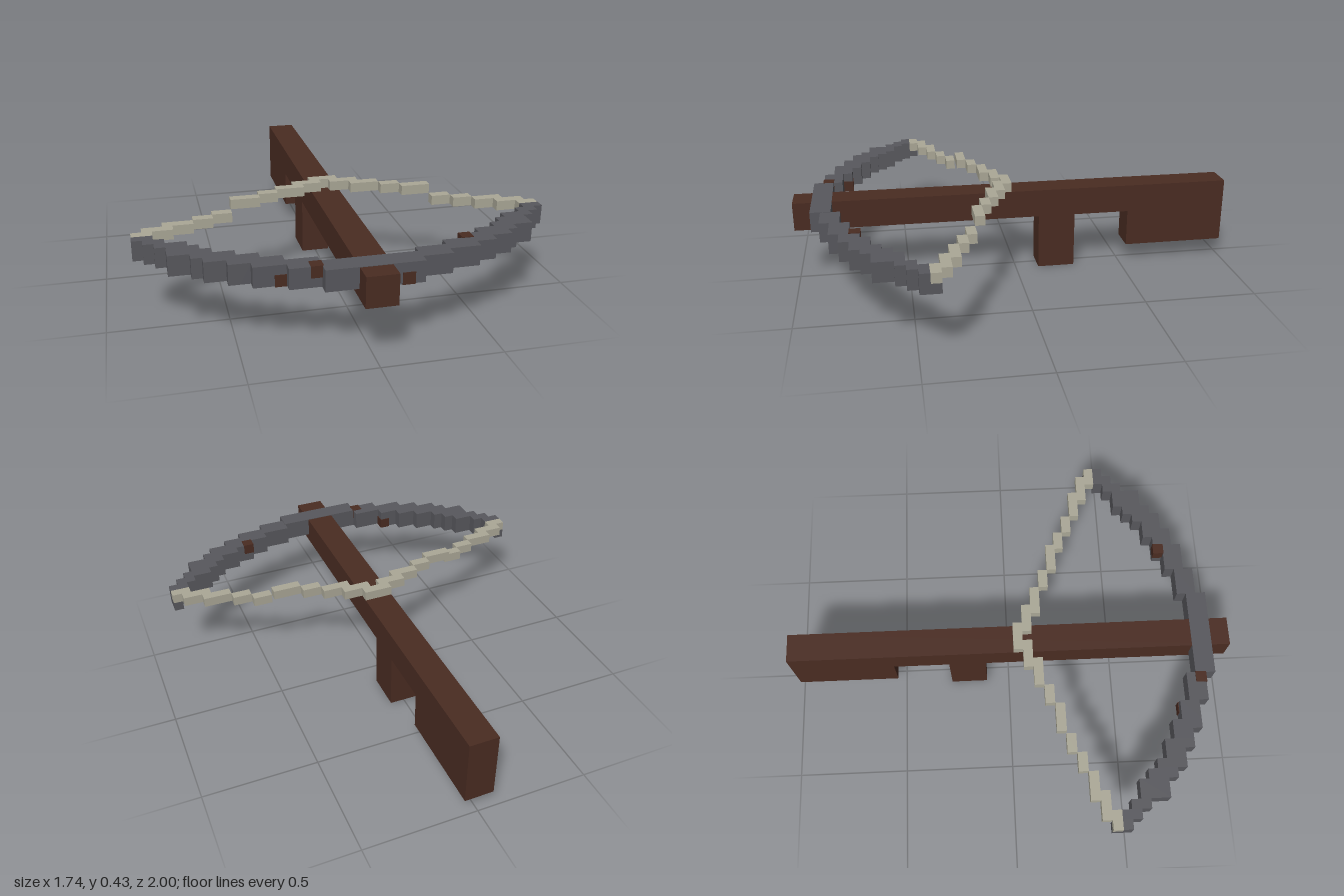
import * as THREE from 'three';

const U = 2 / 47; // edge of one voxel

export function createModel() {
  const model = new THREE.Group();
  model.name = 'crossbow';

  const mat = (name, color) => {
    const m = new THREE.MeshStandardMaterial({ color });
    m.name = name;
    return m;
  };
  const wood = mat('dark wood', 0x4a2c22);
  const steel = mat('grey steel', 0x58585d);
  const cord = mat('pale cord', 0xaba897);

  // Box between voxel limits; z is counted from the back end of the stock
  const block = (parent, name, material, x0, x1, y0, y1, z0, z1, grow = 0) => {
    const geo = new THREE.BoxGeometry(
      (x1 - x0) * U + grow, (y1 - y0) * U + grow, (z1 - z0) * U + grow);
    const mesh = new THREE.Mesh(geo, material);
    mesh.name = name;
    mesh.position.set((x0 + x1) / 2 * U, (y0 + y1) / 2 * U, (z0 + z1) / 2 * U - 1);
    parent.add(mesh);
  };
  // The same box on both sides of the stock
  const pair = (parent, name, material, x0, x1, ...rest) => {
    block(parent, name + 'Left', material, x0, x1, ...rest);
    block(parent, name + 'Right', material, -x1, -x0, ...rest);
  };
  const group = (name) => {
    const g = new THREE.Group();
    g.name = name;
    model.add(g);
    return g;
  };

  // Stock: long beam, grip and butt
  const stock = group('stock');
  block(stock, 'beam', wood, -1.5, 1.5, 6, 9, 0, 47);
  block(stock, 'grip', wood, -1.5, 1.5, 0, 6, 17, 21);
  block(stock, 'butt', wood, -1.5, 1.5, 2, 6, 0, 11);

  // Bow: stepped limbs sweeping back from the centre
  const bow = group('bow');
  block(bow, 'bowCentre', steel, -4.5, 4.5, 7, 9, 43, 45, 0.004);
  const limb = [ // x from, x to, z from, z to
    [4.5, 7.5, 42, 44], [7.5, 9.5, 41, 43], [9.5, 10.5, 40, 43],
    [10.5, 11.5, 40, 42], [11.5, 12.5, 39, 42], [12.5, 13.5, 39, 41],
    [13.5, 14.5, 38, 41], [14.5, 15.5, 37, 40], [15.5, 17.5, 36, 39],
    [17.5, 18.5, 35, 37], [18.5, 19.5, 34, 36], [19.5, 20.5, 34, 35],
  ];
  for (const [x0, x1, z0, z1] of limb) pair(bow, 'limb', steel, x0, x1, 7, 9, z0, z1);
  pair(bow, 'limbTip', steel, 19.5, 20.5, 7, 8, 33, 34);

  // Small wooden flecks in the bow
  block(bow, 'fleck', wood, -5.5, -4.5, 8, 9, 43, 44, 0.006);
  block(bow, 'fleck', wood, -8.5, -7.5, 7, 8, 41, 43, 0.006);
  block(bow, 'fleck', wood, 2.5, 3.5, 7, 8, 44, 45, 0.008);
  block(bow, 'fleck', wood, 9.5, 10.5, 8, 9, 40, 41, 0.006);

  // String: raised over the stock, one step lower towards the tips
  const string = group('string');
  block(string, 'stringCentre', cord, -1.5, 1.5, 9, 10, 24, 25);
  const strand = [ // x from, x to, row
    [0.5, 3.5, 25], [2.5, 5.5, 26], [5.5, 7.5, 27], [7.5, 10.5, 28],
    [10.5, 12.5, 29], [12.5, 14.5, 30], [14.5, 17.5, 31],
    [16.5, 19.5, 32], [18.5, 20.5, 33],
  ];
  for (const [x0, x1, row] of strand) {
    const y = row < 29 ? 9 : 8;
    pair(string, 'strand', cord, x0, x1, y, y + 1, row, row + 1);
  }

  return model;
}
